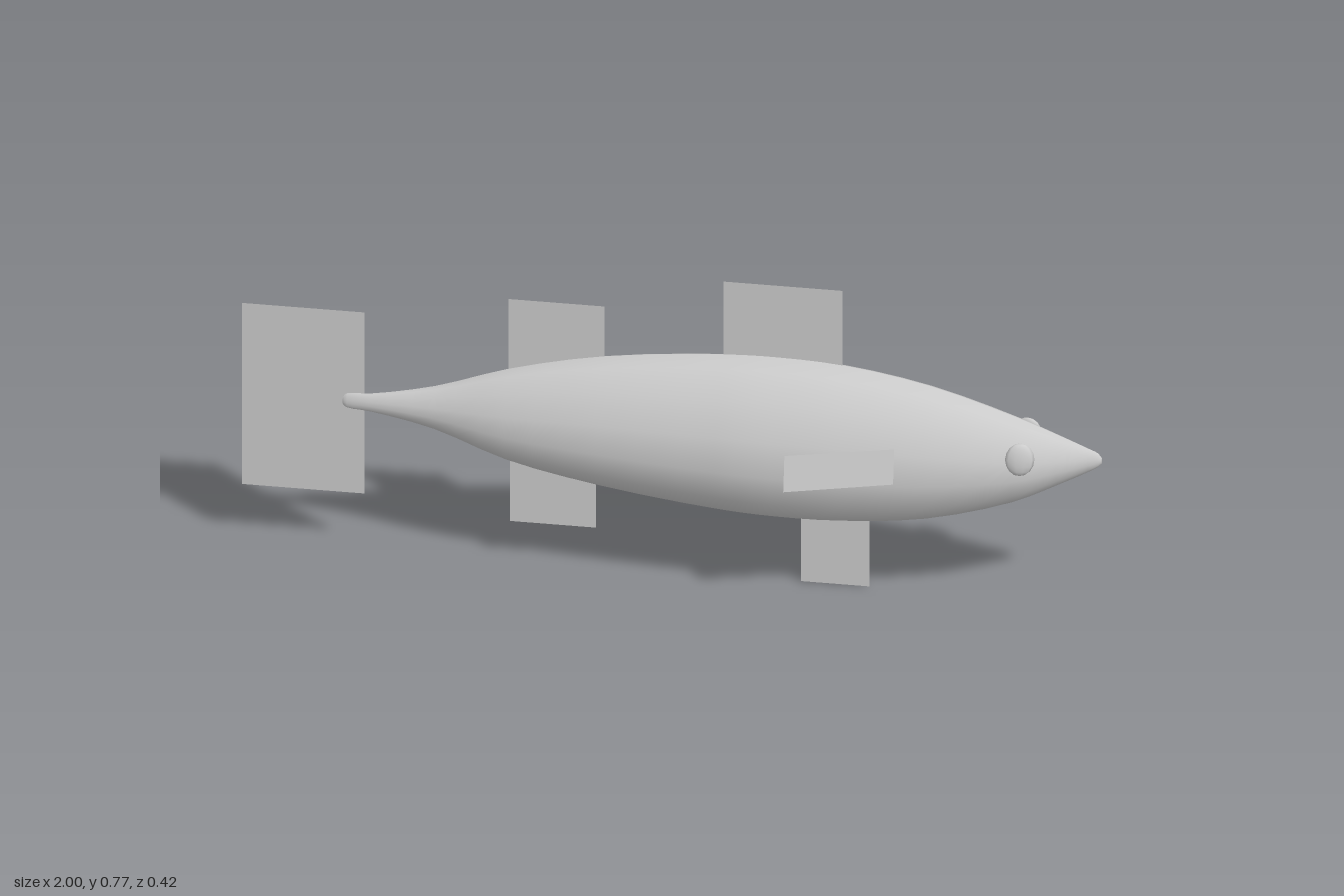
import * as THREE from 'three';

const grey = new THREE.MeshStandardMaterial({ color: 0xcccccc, side: THREE.DoubleSide });
grey.name = 'silver grey';

// Body stations: x, top y, bottom y, half width
const stations = [
  [-0.765, 0.393, 0.37, 0.004], [-0.755, 0.4, 0.363, 0.007], [-0.7, 0.404, 0.358, 0.012],
  [-0.55, 0.437, 0.33, 0.037], [-0.38, 0.497, 0.272, 0.08], [-0.16, 0.549, 0.229, 0.114],
  [0.12, 0.579, 0.195, 0.138], [0.25, 0.582, 0.188, 0.142], [0.4, 0.574, 0.189, 0.137],
  [0.6, 0.538, 0.209, 0.118], [0.8, 0.474, 0.265, 0.08], [0.9, 0.435, 0.312, 0.045],
  [0.97, 0.406, 0.348, 0.018], [0.99, 0.397, 0.36, 0.01], [1.0, 0.385, 0.371, 0.004],
];

// Half section from crown to belly: width fraction, height fraction
const half = [[0, 1], [0.26, 0.952], [0.61, 0.812], [0.91, 0.603], [1, 0.387], [0.87, 0.188], [0.535, 0.048], [0, 0]];
const section = [...half, ...half.slice(1, -1).reverse().map(([w, h]) => [-w, h])];

// Smooth interpolation of one column of the stations
function column(k) {
  return new THREE.CatmullRomCurve3(stations.map((s) => new THREE.Vector3(s[0], s[k], 0)), false, 'centripetal');
}

function bodyGeometry() {
  const steps = (stations.length - 1) * 3;
  const n = section.length;
  const [top, bottom, width] = [column(1), column(2), column(3)];
  const pos = [];
  const index = [];
  for (let i = 0; i <= steps; i++) {
    const t = i / steps;
    const p = top.getPoint(t);
    const low = bottom.getPoint(t).y;
    const w = width.getPoint(t).y;
    for (const [a, h] of section) pos.push(p.x, low + (p.y - low) * h, w * a);
  }
  for (let i = 0; i < steps; i++) {
    for (let j = 0; j < n; j++) {
      const a = i * n + j;
      const b = i * n + ((j + 1) % n);
      index.push(a, b, a + n, b, b + n, a + n);
    }
  }
  // Close the tail and the snout
  const last = steps * n;
  for (let j = 1; j < n - 1; j++) {
    index.push(0, j + 1, j, last, last + j, last + j + 1);
  }
  const g = new THREE.BufferGeometry();
  g.setAttribute('position', new THREE.Float32BufferAttribute(pos, 3));
  g.setIndex(index);
  g.computeVertexNormals();
  return g;
}

export function createModel() {
  const fish = new THREE.Group();
  fish.name = 'fish';
  const add = (name, geometry) => {
    const m = new THREE.Mesh(geometry, grey);
    m.name = name;
    fish.add(m);
    return m;
  };

  add('body', bodyGeometry());

  // Flat fins on the centre plane: name, x range, y range
  const fins = [
    ['tailFin', -1, -0.715, 0.14, 0.615],
    ['frontDorsalFin', 0.12, 0.397, 0.5, 0.77],
    ['rearDorsalFin', -0.38, -0.157, 0.45, 0.68],
    ['analFin', -0.377, -0.177, 0.098, 0.32],
    ['pelvicFin', 0.3, 0.46, 0, 0.26],
  ];
  for (const [name, x0, x1, y0, y1] of fins) {
    add(name, new THREE.PlaneGeometry(x1 - x0, y1 - y0)).position.set((x0 + x1) / 2, (y0 + y1) / 2, 0);
  }

  for (const s of [1, -1]) {
    const side = s > 0 ? 'left' : 'right';

    // Pectoral fin, swept out towards the tail
    const fin = new THREE.PlaneGeometry(1, 1);
    const corners = [[0.293, 0.433, 0.193], [0.537, 0.433, 0.122], [0.293, 0.347, 0.21], [0.537, 0.35, 0.139]];
    corners.forEach(([x, y, z], i) => fin.attributes.position.setXYZ(i, x, y, z * s));
    if (s < 0) fin.setIndex([0, 1, 2, 2, 1, 3]);
    fin.computeVertexNormals();
    add(side + 'PectoralFin', fin);

    // Eye, flattened against the head
    const eye = add(side + 'Eye', new THREE.SphereGeometry(1, 10, 8));
    eye.scale.set(0.034, 0.04, 0.013);
    eye.position.set(0.82, 0.401, 0.067 * s);
    eye.rotation.set(-0.15 * s, 0.2 * s, 0);
  }

  return fish;
}
